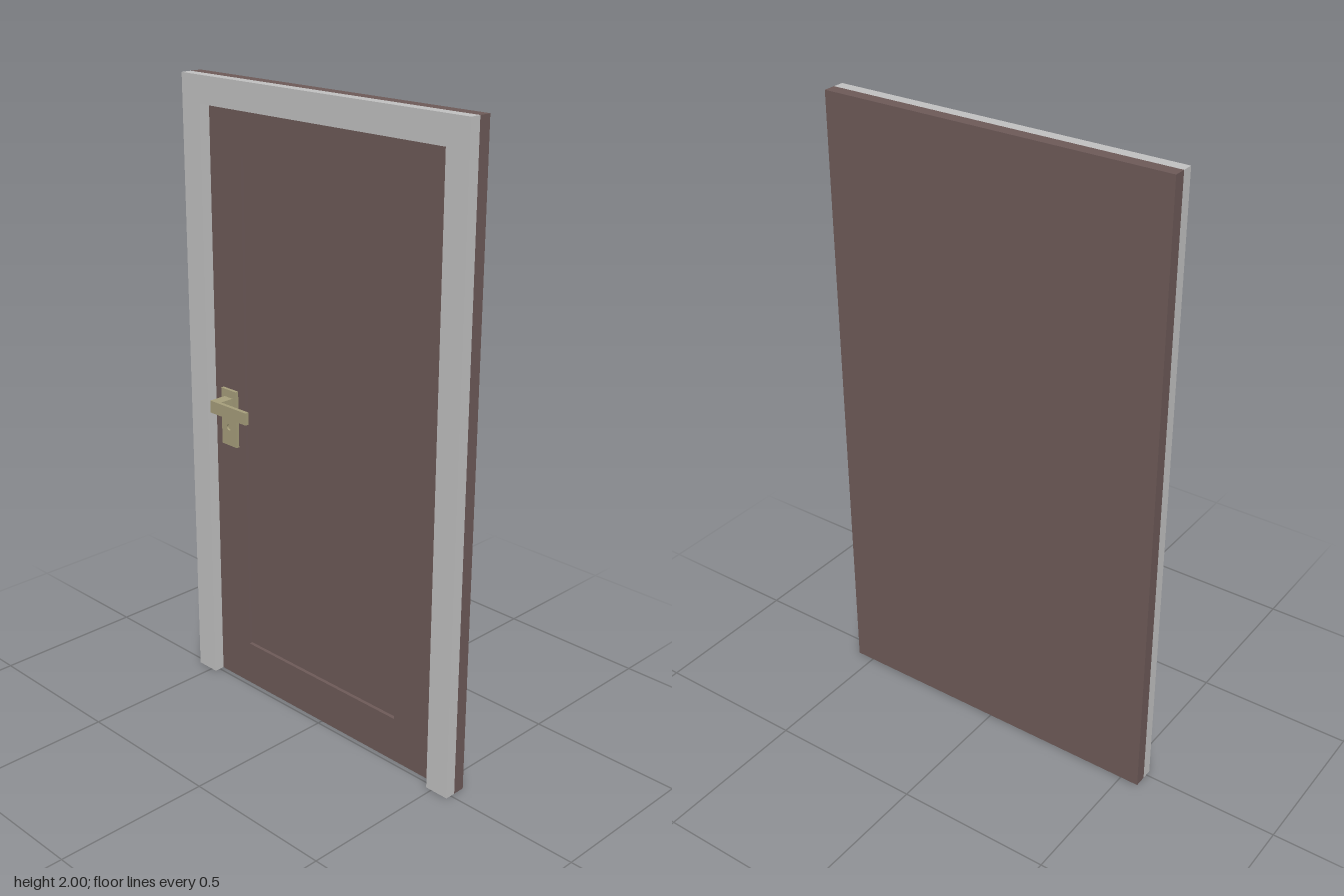
import * as THREE from 'three';

const brown = new THREE.MeshStandardMaterial({ color: 0x6c5957 });
brown.name = 'brown wood';
const grey = new THREE.MeshStandardMaterial({ color: 0xc0c0c0 });
grey.name = 'grey frame';
const brass = new THREE.MeshStandardMaterial({ color: 0xa59d7a });
brass.name = 'dull brass';

// Corner list of a rectangle
const rect = (x0, x1, y0, y1) => [[x0, y0], [x1, y0], [x1, y1], [x0, y1]].map(p => new THREE.Vector2(...p));

// Box given by its limits on each axis
function box(name, material, x0, x1, y0, y1, z0, z1) {
  const mesh = new THREE.Mesh(new THREE.BoxGeometry(x1 - x0, y1 - y0, z1 - z0), material);
  mesh.position.set((x0 + x1) / 2, (y0 + y1) / 2, (z0 + z1) / 2);
  mesh.name = name;
  return mesh;
}

// Flat outline with optional hole, extruded from z0 to z1
function slab(name, material, outline, hole, z0, z1) {
  const shape = new THREE.Shape(outline);
  if (hole) shape.holes.push(hole);
  const geometry = new THREE.ExtrudeGeometry(shape, { depth: z1 - z0, bevelEnabled: false, curveSegments: 16 });
  const mesh = new THREE.Mesh(geometry, material);
  mesh.position.z = z0;
  mesh.name = name;
  return mesh;
}

export function createModel() {
  const model = new THREE.Group();
  model.name = 'door';

  // Door leaf: solid back with a raised border around the sunken panel
  const leaf = new THREE.Group();
  leaf.name = 'doorLeaf';
  leaf.add(
    box('leafBack', brown, -0.56, 0.56, 0, 2, -0.055, -0.028),
    slab('leafBorder', brown, rect(-0.56, 0.56, 0, 2),
      new THREE.Path(rect(-0.343, 0.313, 0.147, 1.773)), -0.028, -0.016)
  );
  model.add(leaf);

  // Frame: two jambs and a lintel in one outline, open at the floor
  const frame = [[-0.56, 0], [-0.48, 0], [-0.48, 1.915], [0.48, 1.915], [0.48, 0], [0.56, 0], [0.56, 2], [-0.56, 2]]
    .map(p => new THREE.Vector2(...p));
  model.add(slab('doorFrame', grey, frame, null, -0.016, 0.019));

  // Handle: plate with keyhole, neck and lever
  const handle = new THREE.Group();
  handle.name = 'handle';
  const keyhole = new THREE.Path().absarc(-0.41, 0.903, 0.01, 0, Math.PI * 2, true);
  handle.add(
    box('plateBack', brass, -0.443, -0.375, 0.842, 1.03, -0.016, -0.012),
    slab('plate', brass, rect(-0.443, -0.375, 0.842, 1.03), keyhole, -0.012, -0.005),
    box('neck', brass, -0.427, -0.39, 0.965, 1.005, -0.005, 0.042),
    box('lever', brass, -0.427, -0.263, 0.965, 1.005, 0.042, 0.055)
  );
  model.add(handle);
  return model;
}
